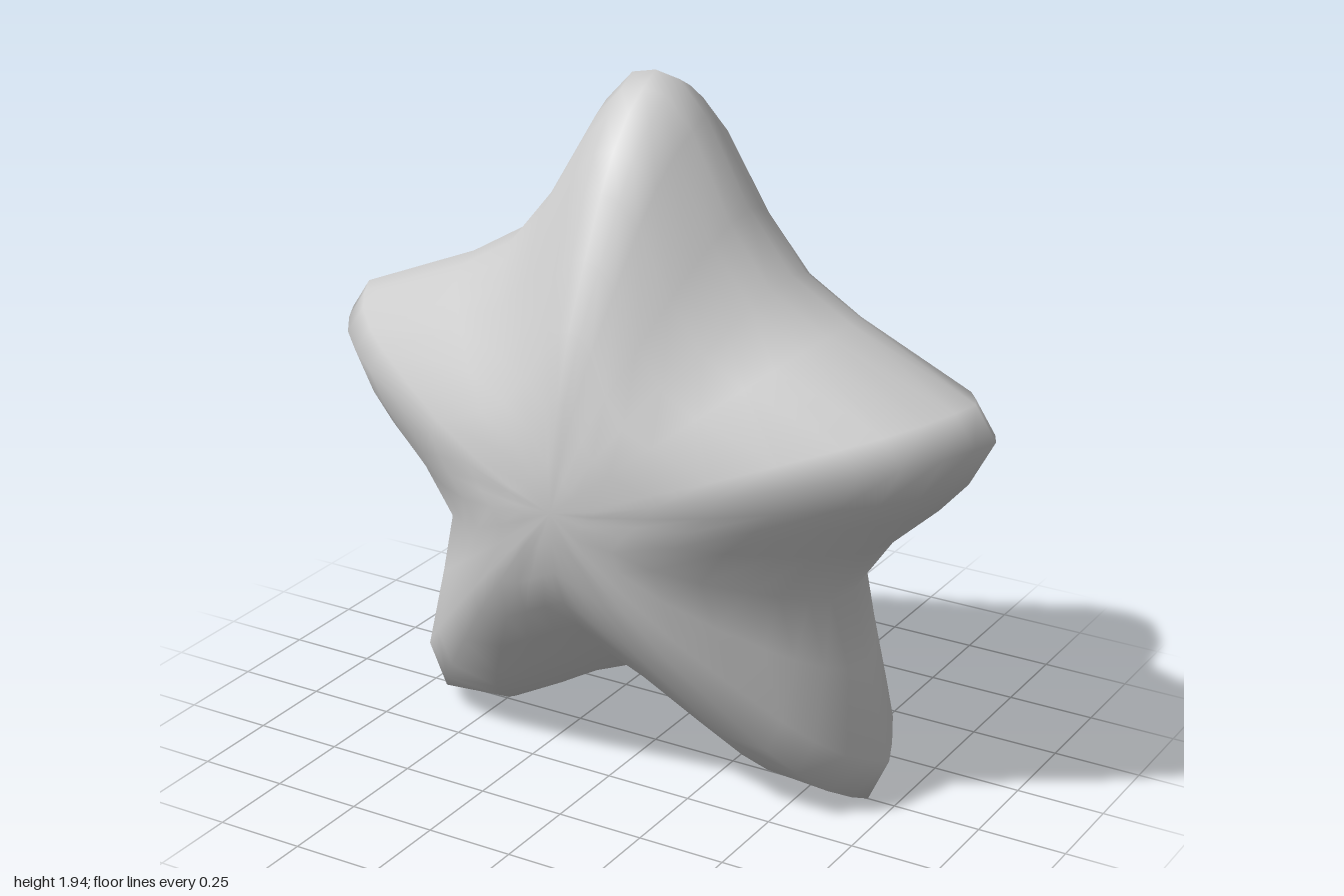
import * as THREE from 'three';
import { mergeVertices } from 'three/addons/utils/BufferGeometryUtils.js';

// Right half of the star outline, from the top tip to the bottom notch
const HALF = [
  [0, 1.94], [0.07, 1.925], [0.15, 1.84], [0.28, 1.61], [0.41, 1.45], [0.58, 1.35],
  [0.94, 1.2], [1, 1.11], [0.93, 0.98], [0.85, 0.89], [0.72, 0.77], [0.61, 0.61],
  [0.66, 0.4], [0.73, 0.13], [0.67, 0], [0.47, 0.015], [0.31, 0.1], [0.14, 0.2], [0, 0.26],
];
const CENTRE_Y = 0.89;

// Rows of [fraction of the way to the rim, depth along an arm, depth along a notch]
const PROFILE = [
  [0, 0.53, 0.53], [0.13, 0.521, 0.526], [0.28, 0.485, 0.51], [0.44, 0.43, 0.47],
  [0.6, 0.35, 0.39], [0.75, 0.27, 0.295], [0.84, 0.21, 0.23], [0.92, 0.135, 0.16],
  [0.97, 0.06, 0.095], [1, 0, 0],
];

function puffyStar() {
  // Closed outline, counter-clockwise from the front
  const right = HALF.map(([x, y]) => [x, y - CENTRE_Y]);
  const left = right.slice(1, -1).map(([x, y]) => [-x, y]);
  const outline = [...left, right[right.length - 1], ...right.slice(1, -1).reverse(), right[0]];
  const n = outline.length;

  // Rings run from the front centre over the rim to the back centre
  const rings = [
    ...PROFILE.map((row) => [...row, 1]),
    ...PROFILE.slice(0, -1).reverse().map((row) => [...row, -1]),
  ];
  const positions = [];
  const index = [];
  rings.forEach(([r, arm, notch, side], j) => {
    outline.forEach(([x, y], i) => {
      const t = THREE.MathUtils.smoothstep(Math.hypot(x, y), 0.62, 1.0);
      positions.push(x * r, CENTRE_Y + y * r, side * THREE.MathUtils.lerp(notch, arm, t));
      if (j === rings.length - 1) return;
      const a = j * n + i, b = j * n + ((i + 1) % n), c = a + n, d = b + n;
      // The first and last rings are single points, so they get fans
      if (j === 0) index.push(a, c, d);
      else if (j === rings.length - 2) index.push(a, c, b);
      else index.push(a, c, d, a, d, b);
    });
  });

  const geometry = new THREE.BufferGeometry();
  geometry.setAttribute('position', new THREE.Float32BufferAttribute(positions, 3));
  geometry.setIndex(index);
  const merged = mergeVertices(geometry, 1e-4);
  merged.computeVertexNormals();
  return merged;
}

export function createModel() {
  const group = new THREE.Group();
  group.name = 'star';
  const body = new THREE.Mesh(puffyStar(), new THREE.MeshStandardMaterial({ color: 0xcccccc }));
  body.name = 'starBody';
  group.add(body);
  return group;
}
